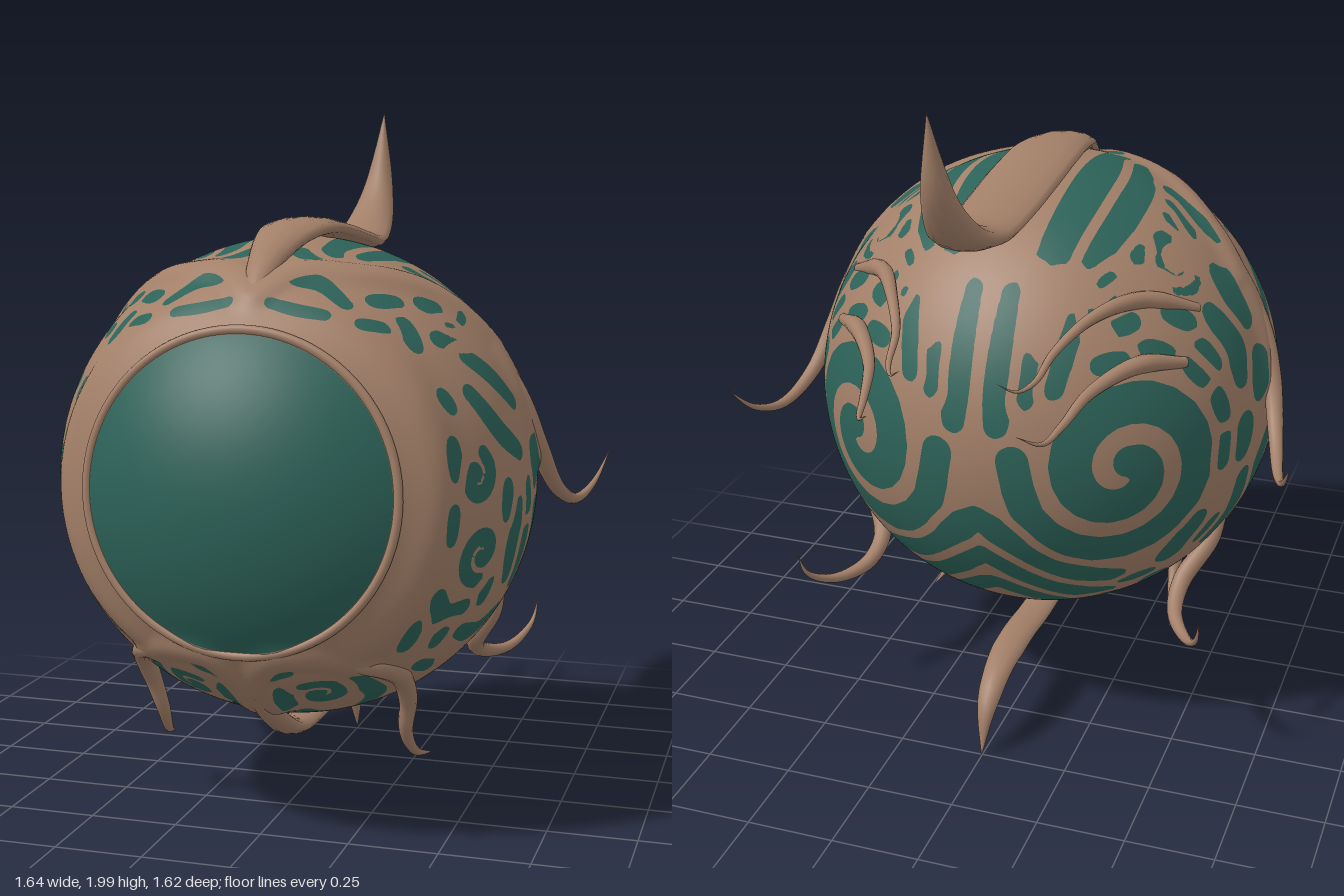
import * as THREE from 'three';
import { mergeVertices } from 'three/addons/utils/BufferGeometryUtils.js';

const R = 0.677;
const CENTRE = new THREE.Vector3(0, 0.957, 0.135);
const EYE_AXIS = new THREE.Vector3(0, 0.057, 0.998).normalize();
const EYE_ANGLE = 0.655;
const GROW = 0.014, LINE = 0.015; // how far shapes swell, and half the bronze line kept between them
const V = (x, y, z) => new THREE.Vector3(x, y, z);

// Lift flat coordinates onto the ball: Side (z,y), Top / Under (x,z), Front / Back (x,y)
function lift(view, a, b) {
  const { y: cy, z: cz } = CENTRE;
  const h = (p, q) => Math.sqrt(Math.max(0, R * R - p * p - q * q));
  const p = {
    S: () => V(h(a - cz, b - cy), b - cy, a - cz),
    T: () => V(a, h(a, b - cz), b - cz),
    U: () => V(a, -h(a, b - cz), b - cz),
    F: () => V(a, b - cy, h(a, b - cy)),
    B: () => V(a, b - cy, -h(a, b - cy)),
  }[view]();
  return p.setLength(R);
}

// Smooth stroke over the ball, returned as segments with tapering half-widths
function stroke(view, width, flat, taper = 0.45) {
  const pts = [];
  for (let i = 0; i < flat.length; i += 2) pts.push(lift(view, flat[i], flat[i + 1]));
  return segments(pts, width, taper, pts.length * 4);
}
function segments(pts, width, taper, n) {
  const p = new THREE.CatmullRomCurve3(pts).getPoints(n).map(q => q.setLength(R));
  return p.slice(1).map((b, i) => ({
    a: p[i], d: b.clone().sub(p[i]), w: width * (1 - taper + taper * Math.sin(Math.PI * (i + 0.5) / n)),
  }));
}
function spiral(view, cx, cy, r0, r1, turns, width, start = 0) {
  const c = lift(view, cx, cy), n = c.clone().normalize();
  const e1 = V(0, 1, 0).cross(n).normalize(), e2 = n.clone().cross(e1);
  const pts = [];
  for (let i = 0; i <= turns * 10; i++) {
    const t = i / (turns * 10), r = r0 + (r1 - r0) * t, a = start + t * turns * Math.PI * 2;
    pts.push(c.clone().addScaledVector(e1, r * Math.cos(a)).addScaledVector(e2, r * Math.sin(a)).setLength(R));
  }
  return segments(pts, width, 0.3, pts.length * 2);
}
function distance(p, segs) {
  let best = 9;
  for (const { a, d, w } of segs) {
    const x = p.x - a.x, y = p.y - a.y, z = p.z - a.z;
    const t = Math.min(1, Math.max(0, (x * d.x + y * d.y + z * d.z) / (d.lengthSq() + 1e-9)));
    best = Math.min(best, Math.hypot(x - t * d.x, y - t * d.y, z - t * d.z) - w);
  }
  return best;
}
const eyeDistance = p => (p.angleTo(EYE_AXIS) - EYE_ANGLE) * R;

// Teal shapes in the filigree, for one half of the ball
const SIDE = [
  [.02, [.36, 1.34, .28, 1.27, .22, 1.2]], [.02, [.41, 1.24, .34, 1.13, .26, 1.07]],
  [.012, [.5, 1.24, .49, 1.21]], [.014, [.32, 1.41, .24, 1.42]], [.028, [.27, .92, .28, .82, .25, .73]],
  [.012, [.55, .95, .55, .88]], [.022, [.53, .72, .48, .66, .42, .67]],
  [.034, [.1, .9, .06, .8, .09, .7]], [.028, [.13, 1.07, .13, .97]],
  [.034, [.05, 1.43, .02, 1.33, .03, 1.25]], [.03, [.03, 1.14, 0, 1.05]],
  [.034, [-.1, 1.3, -.07, 1.2, -.08, 1.12]], [.034, [-.05, .8, -.02, .7, -.06, .6]],
  [.022, [.36, .59, .27, .57, .18, .61]], [.026, [.3, .49, .2, .46, .1, .5]],
  [.034, [.04, .56, 0, .46, .03, .38]], [.034, [-.12, .48, -.2, .42]], [.036, [-.22, 1.43, -.3, 1.42]],
  [.016, [.36, .74, .35, .68]], [.024, [.19, .84, .17, .7]], [.032, [-.08, .98, -.09, .9]],
];
const TOP = [
  [.04, [.15, .31, .158, .15, .158, -.05, .14, -.28, .12, -.5]],
  [.03, [.22, .27, .272, .12, .275, -.06, .235, -.28, .2, -.47]],
  [.02, [.35, -.12, .32, -.24, .29, -.36]],
  [.016, [.36, .12, .42, .06, .5, .05]], [.015, [.37, .05, .42, .005, .47, -.005]],
  [.014, [.33, .19, .4, .15, .48, .13]],
  [.014, [.1, .49, .17, .48, .24, .51]], [.014, [.3, .45, .35, .4]],
  [.016, [.4, .34, .46, .28]], [.007, [.06, .57, .13, .575, .2, .565]], [.009, [.29, .54, .35, .5]],
  [.016, [.46, .4, .5, .34]],
];
const FRONT = [
  [.016, [.09, .45, .07, .36]], [.018, [.28, .49, .3, .41, .24, .35]], [.01, [.07, .505, .12, .52]],
  [.016, [.42, .5, .46, .46]], [.014, [.5, .62, .47, .57]],
];
const BACK = [
  [.032, [.06, 1.08, .065, 1.2, .06, 1.4]], [.03, [.14, 1.29, .155, 1.37, .14, 1.45]],
  [.038, [0, .8, .07, .74, .15, .64, .33, .56]], [.036, [0, .66, .08, .61, .17, .51, .34, .45]],
  [.034, [0, .53, .08, .48, .15, .4]], [.03, [.23, 1.38, .3, 1.34, .36, 1.33]], [.036, [.46, .6, .54, .72]],
];
const UNDER = [
  [.03, [.09, .42, .1, .3, .08, .15]], [.034, [.11, .02, .16, -.08, .12, -.2]],
  [.03, [.32, .1, .36, 0, .3, -.1]], [.028, [.24, -.08, .24, -.18]], [.028, [0, .05, 0, -.1]],
];
const teals = [
  ...[['S', SIDE], ['T', TOP], ['F', FRONT], ['B', BACK], ['U', UNDER]]
    .flatMap(([v, list]) => list.map(([w, pts]) => stroke(v, w, pts))),
  spiral('S', -.42, .95, .03, .33, 1.7, .044, 2),
  spiral('S', .47, 1.03, .01, .07, 1, .01, 1),
  spiral('S', .43, .82, .01, .085, 1.2, .01, 4),
  spiral('S', -.09, 1.42, .02, .07, .8, .014, 1),
  spiral('T', .43, -.08, .015, .095, 1, .014, 3),
  spiral('F', .18, .43, .01, .08, 1.1, .01, 2),
  spiral('U', .23, .22, .01, .1, 1.2, .016, 0),
];
// Raised ridges: brow, cheek to horn root, and the curls under the eye
const ridges = [
  ...stroke('T', .012, [0, .55, .1, .45, .24, .38, .42, .22, .56, .12], 0),
  ...stroke('S', .012, [.13, 1.36, .12, 1.2, .08, 1.05], 0),
  ...stroke('F', .006, [.025, .36, .03, .48, .09, .545, .2, .555, .3, .53], 0),
];
// Small drops fill what is left, flowing round the large spiral
const swirl = lift('S', -.42, .95);
for (let i = 0; i < 1400; i++) {
  const y = 1 - 2 * (i + 0.5) / 1400, a = i * 2.39996, r = Math.sqrt(1 - y * y);
  const p = V(r * Math.cos(a), y, r * Math.sin(a)).multiplyScalar(R);
  const flow = p.clone().cross(swirl).setLength(0.035);
  const line = [p.clone().sub(flow), p, p.clone().add(flow)].map(q => q.setLength(R));
  const free = line.every(q => q.x > 0.03 && eyeDistance(q) > 0.17 && distance(q, ridges) > 0.05
    && teals.every(t => distance(q, t) > 0.045));
  if (free) teals.push(segments(line, 0.018, 0.4, 6));
}
// Positive on bronze, negative on teal: shapes swell until only a thin line parts them
function pattern(p) {
  let first = 9, second = 9;
  for (const t of teals) {
    const d = distance(p, t);
    if (d < first) [first, second] = [d, first];
    else if (d < second) second = d;
  }
  return Math.max(first - GROW, LINE - (second - first) / 2);
}

// One ball surface, cut along the pattern into a bronze and a teal part
function createSurfaces() {
  const base = new THREE.IcosahedronGeometry(R, 56);
  base.deleteAttribute('normal');
  base.deleteAttribute('uv');
  const ball = mergeVertices(base, 1e-4), pos = ball.attributes.position;
  const verts = [];
  for (let i = 0; i < pos.count; i++) {
    const p = V(0, 0, 0).fromBufferAttribute(pos, i);
    const m = V(Math.abs(p.x), p.y, p.z);
    const edge = eyeDistance(p), ridge = distance(m, ridges);
    const f = Math.min(edge, Math.max(pattern(m), 0.024 - ridge, 0.05 - edge));
    // Cheeks swell beside the eye, ridges rise softly
    const cheek = 0.024 * Math.exp(-(((edge - 0.13) / 0.07) ** 2)) * Math.min(1, m.x / 0.45);
    const rise = 0.019 * Math.exp(-((Math.max(0, ridge) / 0.04) ** 2));
    verts.push({ p: p.setLength(R + Math.max(cheek, rise)), f });
  }
  const idx = ball.index.array;
  return [1, -1].map(sign => {
    const out = [];
    for (let i = 0; i < idx.length; i += 3) {
      const tri = [verts[idx[i]], verts[idx[i + 1]], verts[idx[i + 2]]], poly = [];
      tri.forEach((a, k) => {
        const b = tri[(k + 1) % 3];
        if (a.f * sign > 0) poly.push(a.p);
        if ((a.f > 0) !== (b.f > 0)) poly.push(a.p.clone().lerp(b.p, a.f / (a.f - b.f)));
      });
      for (let k = 2; k < poly.length; k++)
        for (const q of [poly[0], poly[k - 1], poly[k]]) out.push(q.x, q.y, q.z);
    }
    return finish(out);
  });
}
function finish(positions, index) {
  let g = new THREE.BufferGeometry();
  g.setAttribute('position', new THREE.Float32BufferAttribute(positions, 3));
  if (index) g.setIndex(index);
  else g = mergeVertices(g, 1e-5);
  g.computeVertexNormals();
  return g;
}

// Tapering horn: oval rings along a curve, radii interpolated from short profiles
function horn(points, widths, depths = widths, steps = 44, sides = 12) {
  const curve = new THREE.CatmullRomCurve3(points.map(p => V(...p)));
  const { normals, binormals } = curve.computeFrenetFrames(steps);
  const at = (list, t) => {
    const s = t * (list.length - 1), i = Math.min(list.length - 2, Math.floor(s));
    return THREE.MathUtils.lerp(list[i], list[i + 1], s - i);
  };
  const pos = [], idx = [];
  for (let i = 0; i <= steps; i++) {
    const t = i / steps, c = curve.getPointAt(t);
    for (let j = 0; j < sides; j++) {
      const a = j / sides * Math.PI * 2;
      const p = c.clone().addScaledVector(normals[i], at(widths, t) * Math.cos(a))
        .addScaledVector(binormals[i], at(depths, t) * Math.sin(a));
      pos.push(p.x, p.y, p.z);
      const k = i * sides + j, l = i * sides + (j + 1) % sides;
      if (i < steps) idx.push(k, l, k + sides, l, l + sides, k + sides);
    }
  }
  return finish(pos, idx);
}

export function createModel() {
  const bronze = new THREE.MeshStandardMaterial({ color: 0xa27f68, name: 'bronze' });
  const teal = new THREE.MeshStandardMaterial({ color: 0x2c6258, name: 'teal' });
  const group = new THREE.Group();
  const add = (name, geometry, material = bronze) => {
    const mesh = new THREE.Mesh(geometry, material);
    mesh.name = name;
    group.add(mesh);
    return mesh;
  };
  const [shell, ball] = createSurfaces();
  add('filigreeShell', shell).position.copy(CENTRE);
  add('eyeAndInlay', ball, teal).position.copy(CENTRE);
  // Rounded rim around the eye
  const rim = add('eyeRim', new THREE.TorusGeometry(R * Math.sin(EYE_ANGLE) + 0.012, 0.013, 12, 96));
  rim.position.copy(CENTRE).addScaledVector(EYE_AXIS, R * Math.cos(EYE_ANGLE) - 0.008);
  rim.quaternion.setFromUnitVectors(V(0, 0, 1), EYE_AXIS);
  // Crests on the centre line
  add('topCrest', horn(
    [[0, 1.46, .58], [0, 1.56, .46], [0, 1.63, .3], [0, 1.655, .1], [0, 1.64, -.1], [0, 1.615, -.3],
      [0, 1.6, -.48], [0, 1.645, -.63], [0, 1.77, -.745], [0, 2, -.808]],
    [.02, .05, .085, .105, .108, .105, .095, .07, .036, 0], [.015, .03, .03, .03, .03, .028, .03, .045, .035, 0]));
  add('bottomCrest', horn(
    [[0, .56, .66], [0, .43, .54], [0, .32, .39], [0, .235, .22], [0, .222, 0], [0, .235, -.2],
      [0, .215, -.36], [0, .145, -.46], [0, .01, -.508]],
    [.015, .025, .035, .045, .05, .052, .05, .035, 0], [.02, .03, .03, .025, .022, .022, .028, .028, 0]));
  // Paired horns and tendrils
  const pairs = {
    SideHorn: [[[.46, 1.4, .14], [.6, 1.24, .13], [.675, 1.06, .08], [.715, .93, -.02], [.75, .875, -.15],
      [.785, .905, -.27], [.822, 1, -.37]], [.02, .035, .034, .025, .018, .01, 0]],
    LowerRearHorn: [[[.575, .68, .02], [.54, .56, -.01], [.475, .45, -.08], [.48, .395, -.18], [.54, .385, -.29],
      [.59, .44, -.38], [.605, .52, -.41]], [.01, .025, .028, .024, .017, .01, 0]],
    ChinTendril: [[[.2, .55, .62], [.3, .53, .565], [.37, .47, .42], [.375, .38, .34], [.36, .28, .3],
      [.37, .2, .23], [.395, .16, .11]], [.012, .025, .03, .028, .021, .013, 0]],
    UpperRearTendril: [[[.5, 1.32, -.12], [.37, 1.375, -.25], [.28, 1.365, -.4], [.22, 1.31, -.52],
      [.2, 1.265, -.62], [.17, 1.26, -.68], [.13, 1.29, -.71]], [.015, .026, .022, .016, .012, .008, 0]],
    MiddleRearTendril: [[[.5, 1.21, -.24], [.4, 1.235, -.36], [.31, 1.2, -.5], [.275, 1.155, -.62],
      [.25, 1.14, -.71], [.2, 1.18, -.77]], [.015, .026, .02, .014, .009, 0]],
  };
  for (const [name, [points, widths]] of Object.entries(pairs))
    for (const [side, s] of [['left', 1], ['right', -1]])
      add(side + name, horn(points.map(([x, y, z]) => [x * s, y, z]), widths));
  return group;
}
